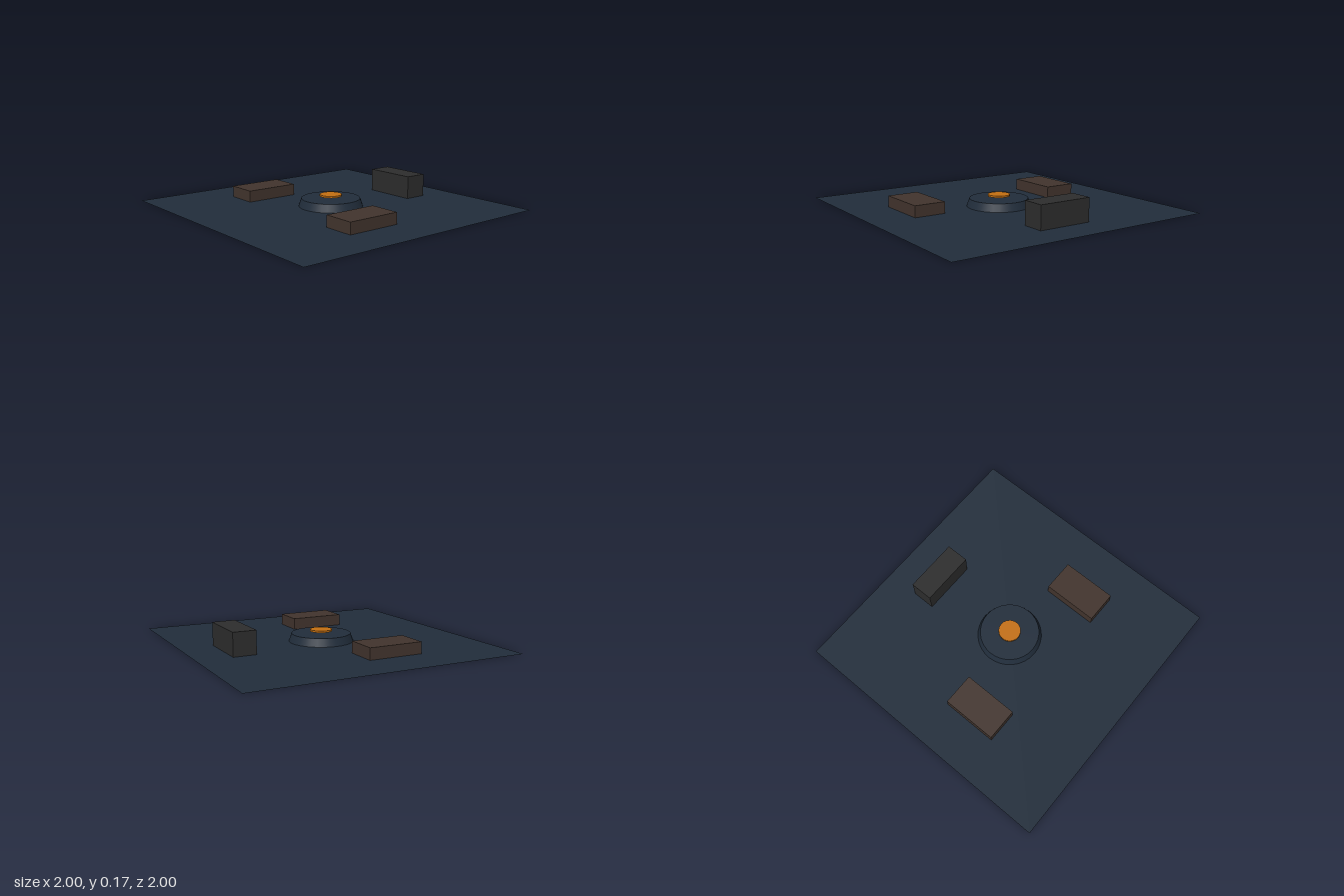
import * as THREE from 'three';

const mat = (name, color) => {
  const m = new THREE.MeshStandardMaterial({ color });
  m.name = name;
  return m;
};

export function createModel() {
  const group = new THREE.Group();
  const slate = mat('slate blue', 0x212d3b);
  const brown = mat('dark brown', 0x42342d);
  const charcoal = mat('charcoal', 0x2d2d2d);
  const amber = mat('amber', 0xc47012);
  slate.side = THREE.DoubleSide;

  const add = (name, geometry, material, x, y, z) => {
    const mesh = new THREE.Mesh(geometry, material);
    mesh.name = name;
    mesh.position.set(x, y, z);
    group.add(mesh);
  };

  // Thin floor sheet
  add('floor', new THREE.PlaneGeometry(2, 2).rotateX(-Math.PI / 2), slate, 0, 0, 0);

  // Tapered round platform with a small disc hovering above it
  add('platform', new THREE.CylinderGeometry(0.213, 0.233, 0.057, 32), slate, 0, 0.0285, 0);
  add('glowDisc', new THREE.CylinderGeometry(0.08, 0.08, 0.013, 20), amber, 0, 0.077, 0);

  // Pair of low side benches
  for (const [name, side] of [['leftBench', 1], ['rightBench', -1]]) {
    add(name, new THREE.BoxGeometry(0.233, 0.083, 0.4), brown, side * 0.567, 0.0415, 0.2);
  }

  // Taller block at the back
  add('backConsole', new THREE.BoxGeometry(0.4, 0.167, 0.167), charcoal, 0, 0.0835, -0.667);

  return group;
}
